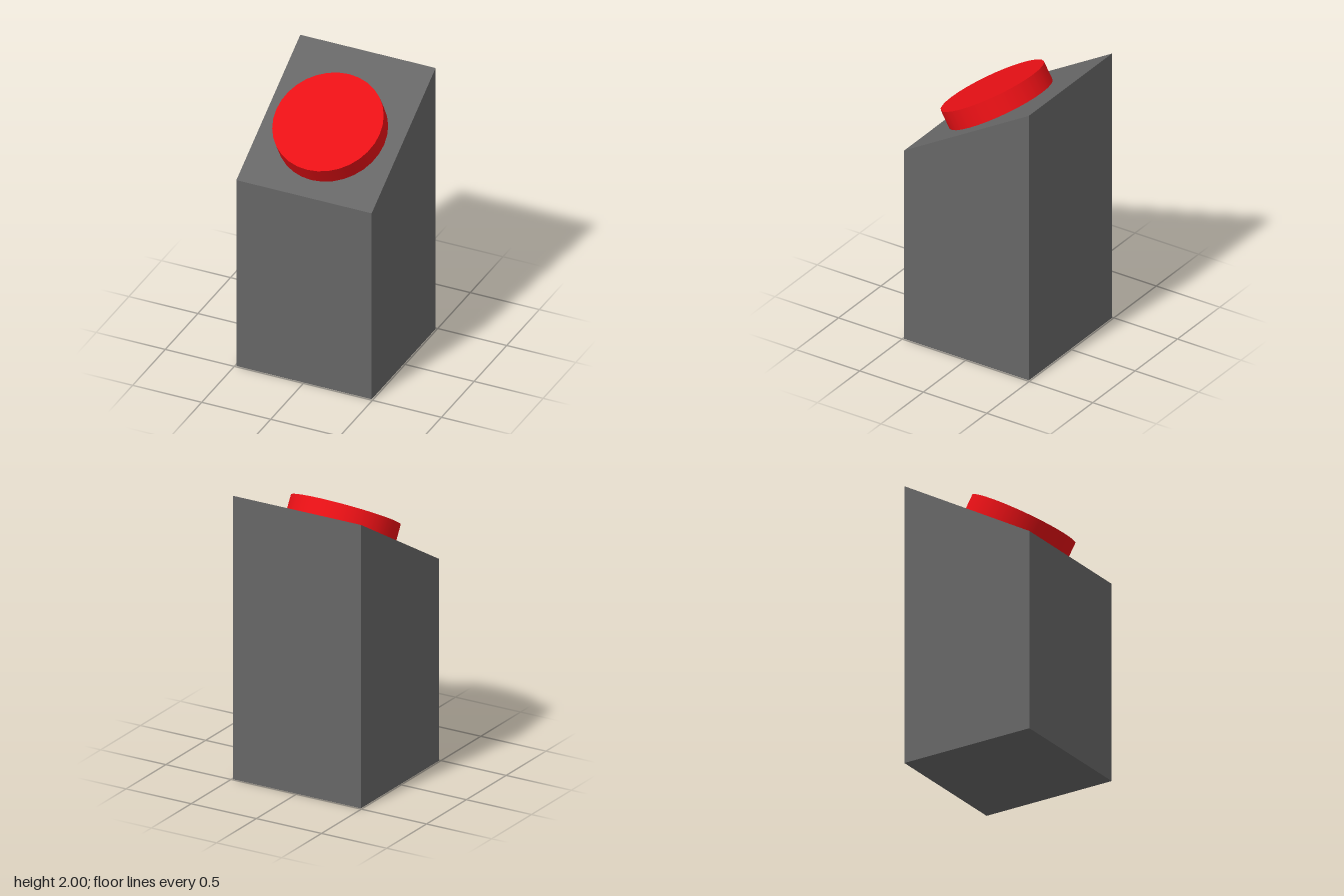
import * as THREE from 'three';

const HALF = 0.49;      // half width and depth of the pedestal
const FRONT_Y = 1.425;  // height of the front edge
const BACK_Y = 2;       // height of the back edge

export function createModel() {
  const model = new THREE.Group();
  model.name = 'buttonPedestal';

  // Pedestal: side profile (z, y) with a sloped top, extruded across x
  const profile = new THREE.Shape([
    new THREE.Vector2(-HALF, 0),
    new THREE.Vector2(HALF, 0),
    new THREE.Vector2(HALF, FRONT_Y),
    new THREE.Vector2(-HALF, BACK_Y),
  ]);
  const body = new THREE.ExtrudeGeometry(profile, { depth: 2 * HALF, bevelEnabled: false });
  body.translate(0, 0, -HALF).rotateY(-Math.PI / 2);
  const pedestal = new THREE.Mesh(body, new THREE.MeshStandardMaterial({ color: 0x666666 }));
  pedestal.name = 'pedestal';
  model.add(pedestal);

  // Button: disc standing square to the slope, sunk slightly into it
  const slope = Math.atan2(BACK_Y - FRONT_Y, 2 * HALF);
  const height = 0.135, sink = 0.02, z = 0.055;
  const disc = new THREE.CylinderGeometry(0.374, 0.374, height + sink, 32);
  disc.translate(0, (height - sink) / 2, 0);
  const button = new THREE.Mesh(disc, new THREE.MeshStandardMaterial({ color: 0xe81015 }));
  button.name = 'button';
  button.rotation.x = slope;
  button.position.set(0, FRONT_Y + (HALF - z) * Math.tan(slope), z);
  model.add(button);

  return model;
}
